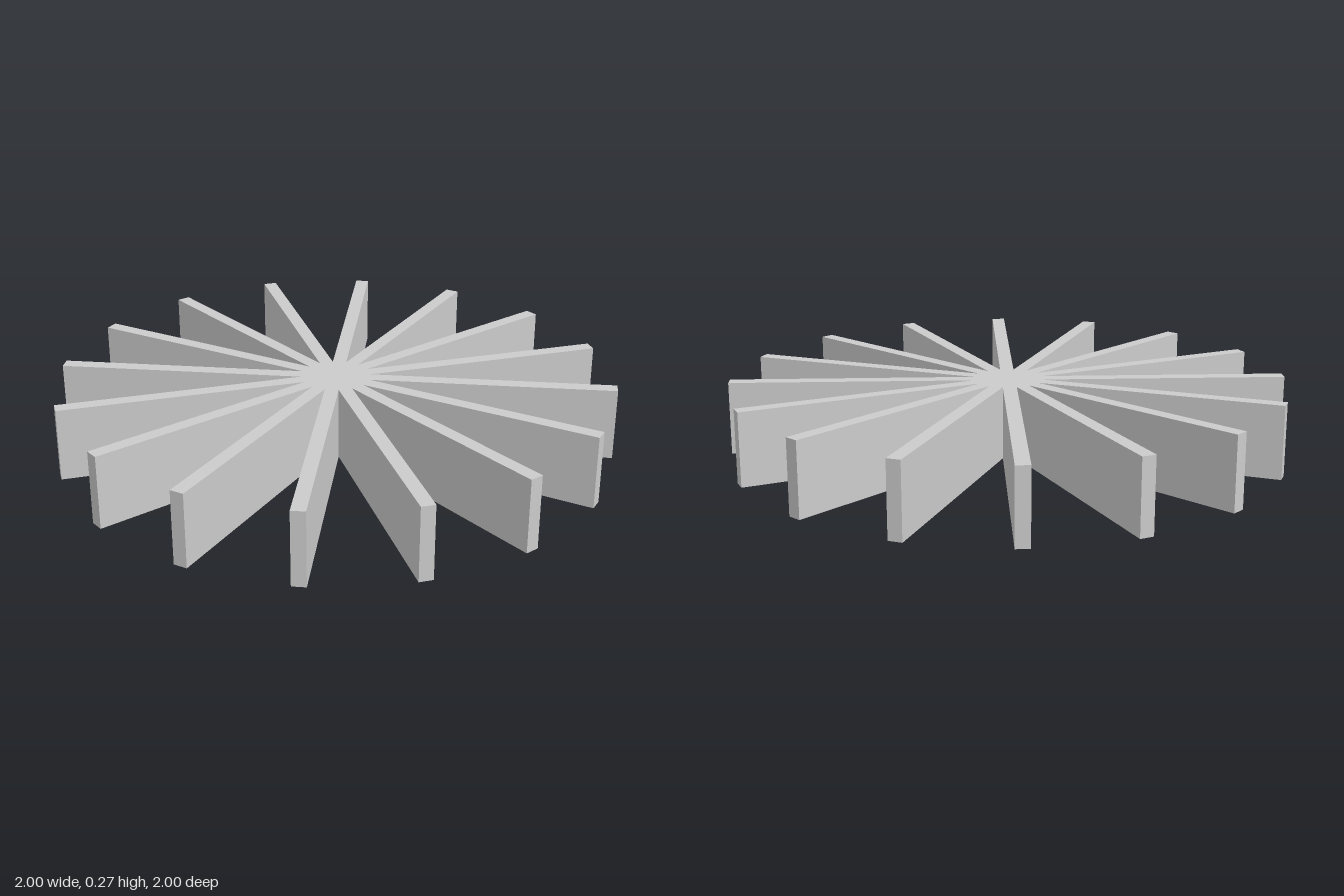
import * as THREE from 'three';

const FINS = 16;
const LENGTH = 1.0147; // centre to tip
const WIDTH = 0.05;
const HEIGHT = 0.267;

export function createModel() {
  const group = new THREE.Group();
  group.name = 'radialFins';

  // Star outline: two tip corners per fin, then the notch where it meets the next fin
  const step = (Math.PI * 2) / FINS;
  const notch = WIDTH / 2 / Math.sin(step / 2);
  const points = [];
  for (let i = 0; i < FINS; i++) {
    const angle = (i + 0.5) * step;
    const centre = new THREE.Vector2();
    for (const side of [-1, 1]) {
      points.push(new THREE.Vector2(LENGTH, side * WIDTH / 2).rotateAround(centre, angle));
    }
    points.push(new THREE.Vector2(notch, 0).rotateAround(centre, angle + step / 2));
  }

  // Upright fins joined at the hub, extruded upward from the ground
  const geometry = new THREE.ExtrudeGeometry(new THREE.Shape(points), { depth: HEIGHT, bevelEnabled: false });
  geometry.rotateX(-Math.PI / 2);
  const fins = new THREE.Mesh(geometry, new THREE.MeshStandardMaterial({ color: 0xcccccc, flatShading: true }));
  fins.name = 'finsAndHub';
  group.add(fins);
  return group;
}
